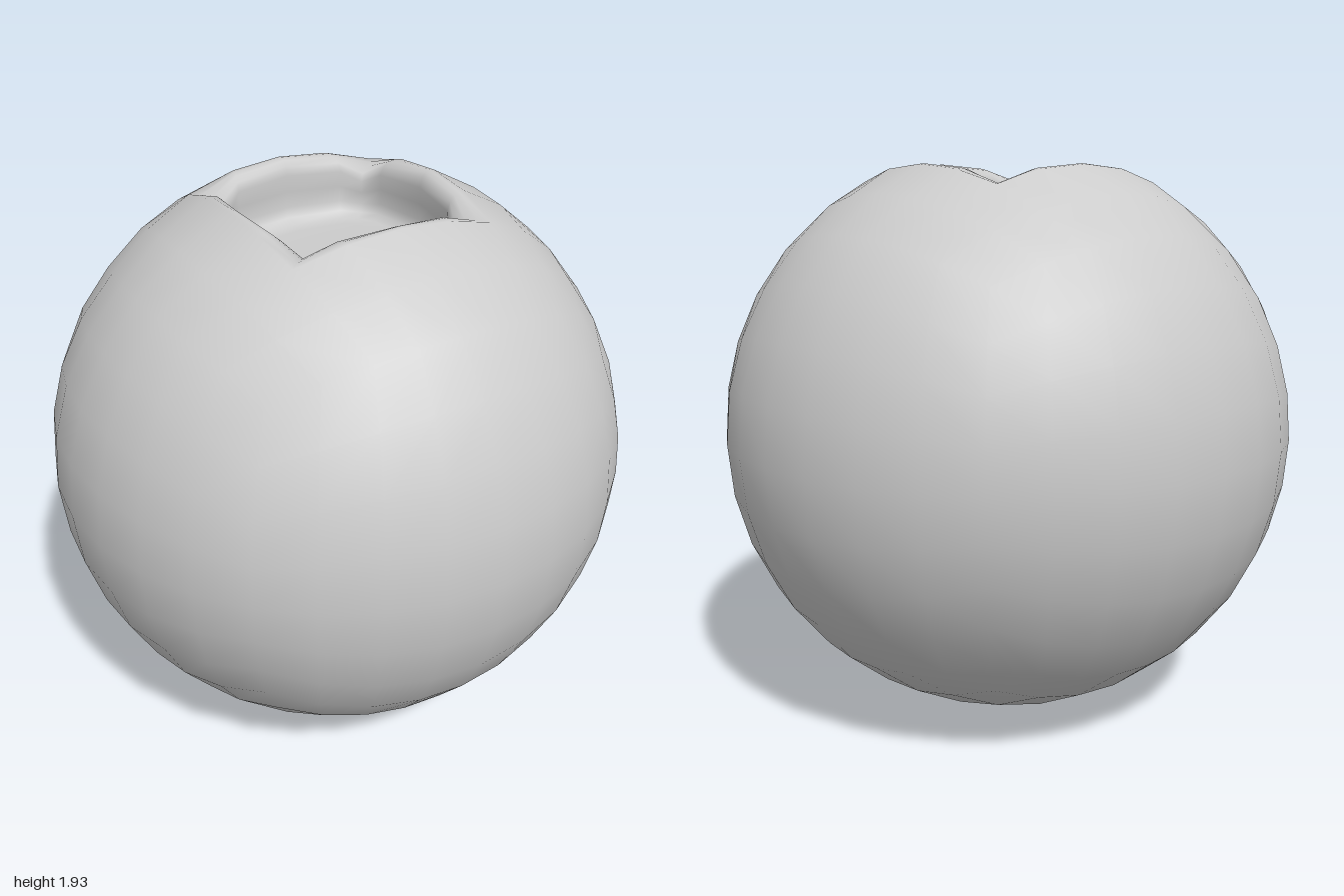
import * as THREE from 'three';
import { mergeVertices } from 'three/addons/utils/BufferGeometryUtils.js';

const N = 8;              // cells along each side of a cube face
const CELL = Math.PI / 2 / N;
const V = (x, y, z) => new THREE.Vector3(x, y, z);

export function createModel() {
  const pos = [];
  const tri = (...pts) => pts.forEach((p) => pos.push(p.x, p.y + 1, p.z));
  const quad = (a, b, c, d) => { tri(a, b, c); tri(a, c, d); };

  // Sphere made of six rounded cube faces, the top one left open in the middle
  const X = V(1, 0, 0), Y = V(0, 1, 0), Z = V(0, 0, 1);
  const faces = [[X, Y], [Y, Z], [Z, X], [Y, X], [Z, Y], [X, Z]];
  faces.forEach(([u, v], f) => {
    const n = u.clone().cross(v);
    const at = (i, j) => n.clone()
      .addScaledVector(u, Math.tan((i - N / 2) * CELL))
      .addScaledVector(v, Math.tan((j - N / 2) * CELL)).normalize();
    for (let i = 0; i < N; i++) for (let j = 0; j < N; j++) {
      const open = f === 2 && i >= 2 && i < 6 && j >= 2 && j < 6;
      if (!open) quad(at(i, j), at(i + 1, j), at(i + 1, j + 1), at(i, j + 1));
    }
  });

  // Outline of the opening on the sphere, and the rounded square inside it
  const outer = [], hole = [];
  for (let s = 0; s < 4; s++) {
    for (let i = 0; i < 4; i++) {
      const t = 1 - i / 2;
      const o = V(Math.tan(2 * CELL), 1, Math.tan(2 * CELL * t)).normalize();
      const [hx, hz] = [[0.33, 0], [0.3, 0.2], [0.26, 0.26]][Math.abs(t) * 2];
      const h = V(hx, 0, hz * Math.sign(t));
      for (const p of [o, h]) p.applyAxisAngle(Y, s * Math.PI / 2);
      outer.push(o);
      hole.push(h);
    }
  }

  // Recess rings: inward blend, share of the drop to the floor, scale
  const floorY = 0.7;
  const profile = [
    [0, 0, 1], [0.3, -0.01, 1], [0.6, 0.02, 1], [0.85, 0.1, 1], [1, 0.24, 1],
    [0.95, 0.5, 1], [0.95, 0.75, 1], [1, 0.9, 0.97], [1, 0.98, 0.88],
    [1, 1, 0.75], [1, 1, 0.4],
  ];
  const rings = profile.map(([m, drop, scale]) => outer.map((o, i) => {
    const p = o.clone().lerp(hole[i], m).multiplyScalar(scale);
    p.y = THREE.MathUtils.lerp(o.y, floorY, drop);
    return p;
  }));
  const count = outer.length;
  for (let i = 0; i < count; i++) {
    const j = (i + 1) % count;
    for (let k = 0; k < rings.length - 1; k++) {
      quad(rings[k][i], rings[k][j], rings[k + 1][j], rings[k + 1][i]);
    }
    const last = rings[rings.length - 1];
    tri(last[i], last[j], V(0, floorY, 0));
  }

  // Weld into one smooth skin
  let geometry = new THREE.BufferGeometry();
  geometry.setAttribute('position', new THREE.Float32BufferAttribute(pos, 3));
  geometry = mergeVertices(geometry, 1e-4);
  geometry.computeVertexNormals();

  const body = new THREE.Mesh(geometry, new THREE.MeshStandardMaterial({ color: 0xcccccc }));
  body.name = 'sphereWithRecess';
  const group = new THREE.Group();
  group.name = 'recessedSphere';
  group.add(body);
  return group;
}
